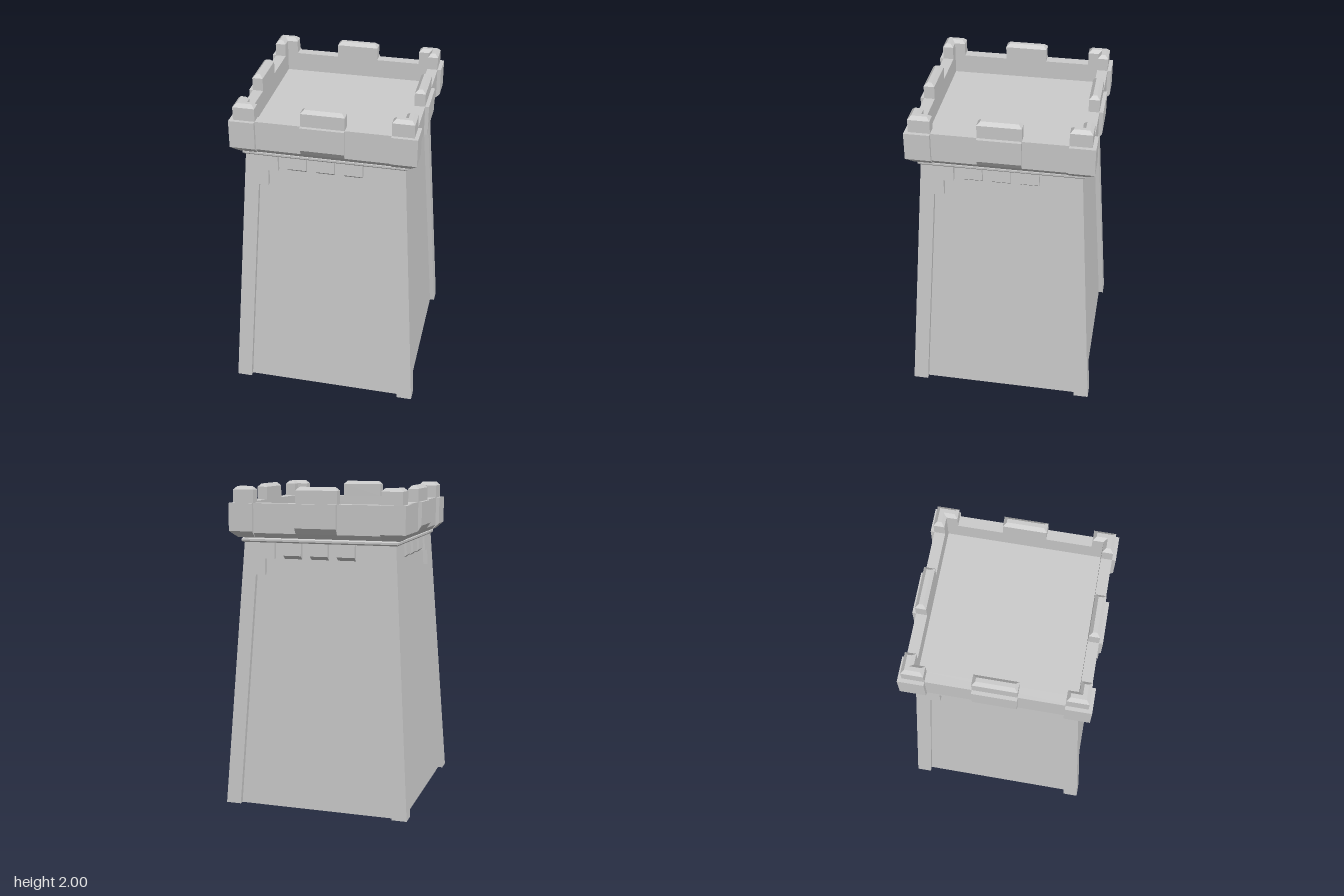
import * as THREE from 'three';

const material = new THREE.MeshStandardMaterial({ color: 0xcccccc, flatShading: true });

// Half widths of the tapering tower: recessed wall and raised stonework
const wallHalf = y => 0.56 - 0.11 * y / 1.66;
const faceHalf = y => 0.59 - 0.11 * y / 1.66;

function outline(points) {
  return new THREE.Shape(points.map(([x, y]) => new THREE.Vector2(x, y)));
}

// Square solid or ring turned from a profile of [half width, height]
function squareLathe(name, profile) {
  const points = profile.map(([h, y]) => new THREE.Vector2(h * Math.SQRT2, y));
  const mesh = new THREE.Mesh(new THREE.LatheGeometry(points, 4, Math.PI / 4), material);
  mesh.name = name;
  return mesh;
}

// Raised slab on the +z side: follows the slope of the wall, is mitred at the
// corners, and its lower edge slopes up towards the front by `lift`
function slab(name, points, front, back, lift = 0) {
  const geometry = new THREE.ExtrudeGeometry(outline(points), { depth: 1, bevelEnabled: false });
  const p = geometry.attributes.position;
  const bottom = Math.min(...points.map(q => q[1]));
  for (let i = 0; i < p.count; i++) {
    let x = p.getX(i), y = p.getY(i);
    const isFront = p.getZ(i) > 0.5;
    if (isFront && y < bottom + 1e-4) y += lift;
    const z = isFront ? front(y) : back(y);
    x = Math.sign(x) * Math.min(Math.abs(x), z);
    p.setXYZ(i, x, y, z);
  }
  geometry.computeVertexNormals();
  const mesh = new THREE.Mesh(geometry, material);
  mesh.name = name;
  return mesh;
}

const rect = (x0, x1, y0, y1) => [[x0, y0], [x1, y0], [x1, y1], [x0, y1]];

// Merlon with a chamfered top, from a plan outline of [x, z]
function merlon(name, plan) {
  const geometry = new THREE.ExtrudeGeometry(outline(plan.map(([x, z]) => [x, -z])), {
    depth: 0.08, bevelThickness: 0.02, bevelSize: 0.02, bevelOffset: -0.02, bevelSegments: 1,
  });
  geometry.rotateX(-Math.PI / 2).translate(0, 1.9, 0);
  const mesh = new THREE.Mesh(geometry, material);
  mesh.name = name;
  return mesh;
}

// Everything that repeats on each of the four sides
function createSide() {
  const side = new THREE.Group();

  // Corner posts with stepped tops
  for (const s of [-1, 1]) {
    const post = [[0.495, 0], [0.59, 0], [0.48, 1.66], [0.285, 1.66], [0.285, 1.56],
      [0.345, 1.56], [0.345, 1.46], [0.405, 1.46]];
    side.add(slab('cornerPost', post.map(([x, y]) => [s * x, y]), faceHalf, wallHalf));
  }

  // Small brackets below the cornice
  for (const x of [-0.17, 0, 0.17]) {
    side.add(slab('bracket', rect(x - 0.056, x + 0.056, 1.56, 1.66), faceHalf, wallHalf, 0.022));
  }

  // Raised plates on the outside of the parapet
  const inner = () => 0.53, outer = () => 0.553;
  side.add(slab('middlePlate', rect(-0.13, 0.13, 1.72, 1.9), outer, inner, 0.035));
  for (const s of [-1, 1]) {
    const y0 = 1.69;
    side.add(slab('cornerPlate', rect(s * 0.4, s * 0.553, y0, 1.9), outer, () => 0.51, 0.04));
  }

  // Merlons
  side.add(merlon('middleMerlon', rect(-0.13, 0.13, 0.465, 0.53)));
  side.add(merlon('cornerMerlon', [[0.4, 0.53], [0.53, 0.53], [0.53, 0.4],
    [0.465, 0.4], [0.465, 0.465], [0.4, 0.465]]));
  return side;
}

export function createModel() {
  const tower = new THREE.Group();
  tower.name = 'tower';

  // Tapered body, moulding and parapet with a sunken floor
  tower.add(squareLathe('body', [[0, 0], [0.56, 0], [0.45, 1.66]]));
  tower.add(squareLathe('moulding', [[0.44, 1.66], [0.488, 1.66], [0.495, 1.668],
    [0.495, 1.68], [0.485, 1.69]]));
  tower.add(squareLathe('parapet', [[0.485, 1.69], [0.505, 1.69], [0.53, 1.72], [0.53, 1.9],
    [0.465, 1.9], [0.465, 1.78], [0, 1.78]]));

  const names = ['frontSide', 'leftSide', 'backSide', 'rightSide'];
  names.forEach((name, i) => {
    const side = createSide();
    side.name = name;
    side.rotation.y = i * Math.PI / 2;
    tower.add(side);
  });
  return tower;
}
